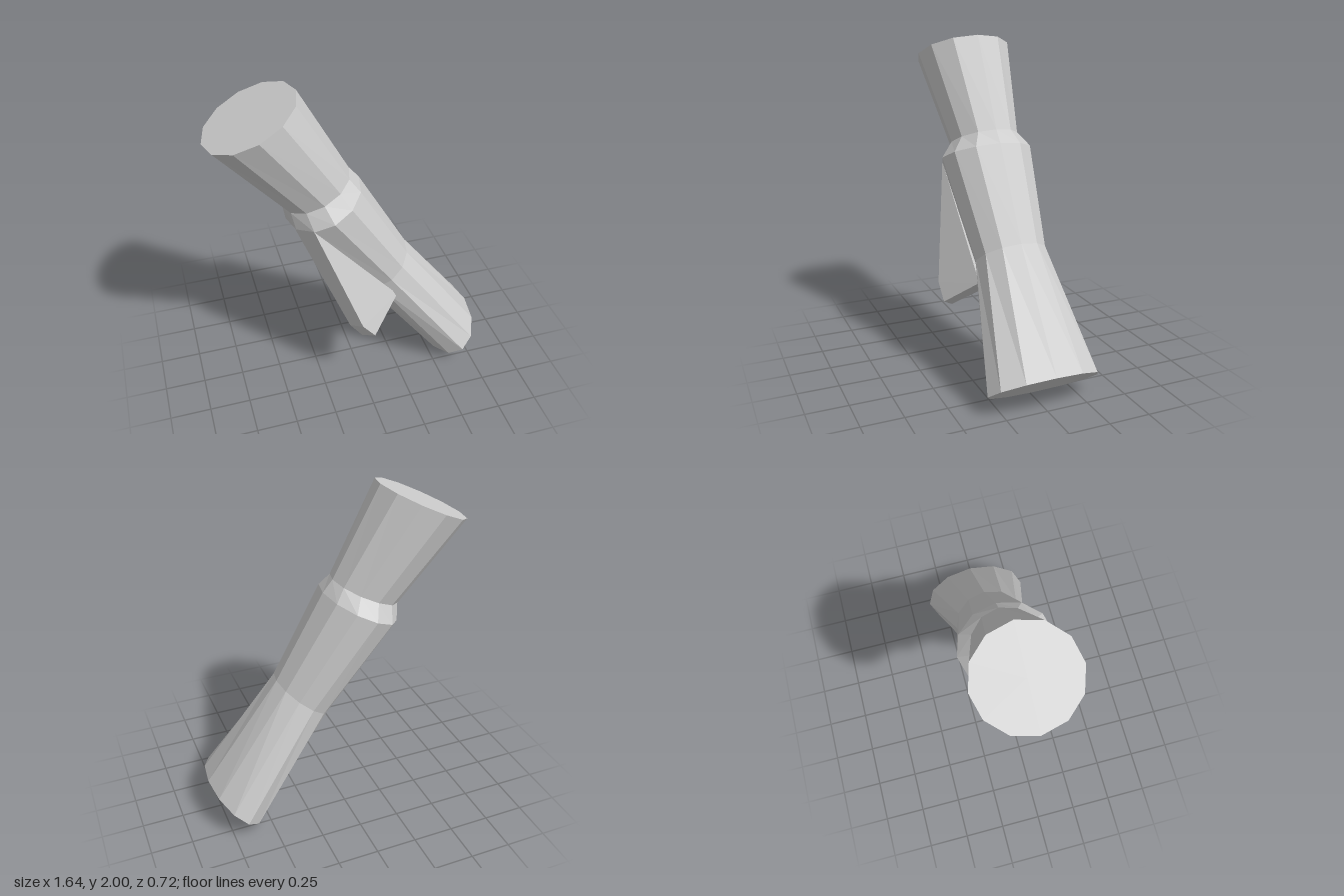
import * as THREE from 'three';
import { ConvexGeometry } from 'three/addons/geometries/ConvexGeometry.js';

const SIDES = 12;
const Z0 = -0.016;

// Leaning limb lofted through tilted oval rings: [centre x, centre y, half-axis x, half-axis y, half-depth z]
function limbGeometry(rings) {
  const pos = [];
  const index = [];
  for (const [cx, cy, ax, ay, rz] of rings) {
    for (let j = 0; j < SIDES; j++) {
      const a = (j / SIDES) * Math.PI * 2;
      pos.push(cx + ax * Math.cos(a), cy + ay * Math.cos(a), Z0 + rz * Math.sin(a));
    }
  }
  const last = rings.length - 1;
  const topCentre = pos.length / 3;
  pos.push(rings[0][0], rings[0][1], Z0, rings[last][0], rings[last][1], Z0);
  for (let j = 0; j < SIDES; j++) {
    const k = (j + 1) % SIDES;
    for (let i = 0; i < last; i++) {
      const a = i * SIDES, b = a + SIDES;
      index.push(a + j, a + k, b + j, a + k, b + k, b + j);
    }
    // flat end caps
    index.push(topCentre, k, j);
    index.push(topCentre + 1, last * SIDES + j, last * SIDES + k);
  }
  const geo = new THREE.BufferGeometry();
  geo.setAttribute('position', new THREE.Float32BufferAttribute(pos, 3));
  geo.setIndex(index);
  const flat = geo.toNonIndexed();
  flat.computeVertexNormals();
  return flat;
}

export function createModel() {
  const group = new THREE.Group();
  const material = new THREE.MeshStandardMaterial({ color: 0xcccccc, flatShading: true });

  // Main limb: flared top, collar, waist, flared foot
  const limb = new THREE.Mesh(limbGeometry([
    [-0.56, 1.88, 0.263, 0.12, 0.294],
    [-0.21, 1.372, 0.2, 0.093, 0.21],
    [-0.172, 1.287, 0.222, 0.105, 0.285],
    [0.2, 0.74, 0.153, 0.12, 0.22],
    [0.672, 0.118, 0.15, 0.117, 0.345],
  ]), material);
  limb.name = 'limb';
  group.add(limb);

  // Wedge-shaped stub growing down and forward from the collar
  const corners = [
    [-0.285, 1.238, 0.23], [-0.37, 1.2, 0.125], // root at the collar
    [-0.03, 0.55, 0.358], [0.05, 0.45, 0.353], // front of the tip
    [-0.01, 0.4, 0.28], [-0.09, 0.51, 0.28], // back of the tip
    [0.24, 0.613, 0.2], [0.17, 0.56, 0.1], // root inside the waist
  ];
  const stub = new THREE.Mesh(
    new ConvexGeometry(corners.map((c) => new THREE.Vector3(...c))), material);
  stub.name = 'stub';
  group.add(stub);

  return group;
}
